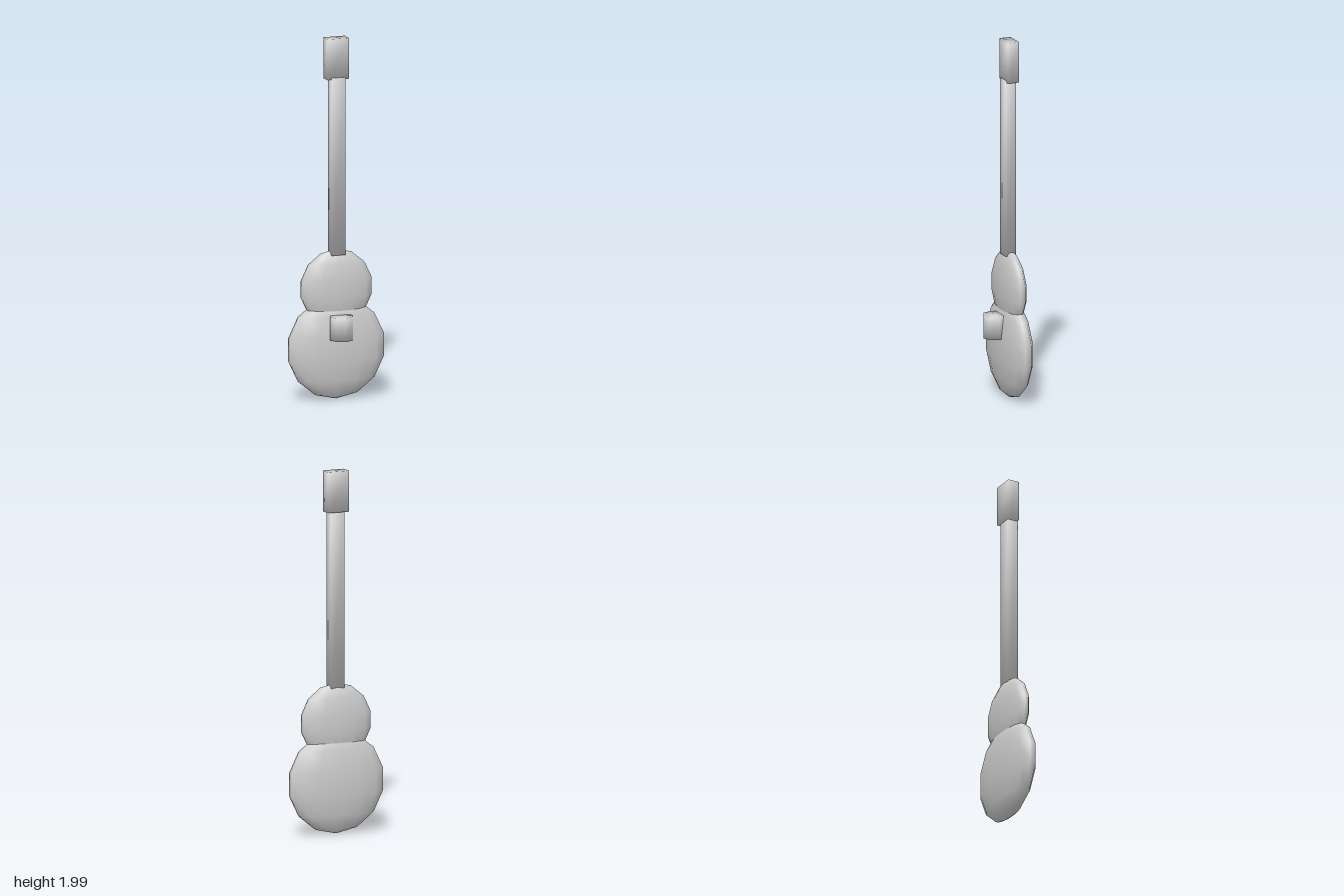
import * as THREE from 'three';

const bodyGrey = new THREE.MeshStandardMaterial({ name: 'plainGrey', color: 0xcccccc });

function addPart(group, name, geometry, x, y, z) {
  const mesh = new THREE.Mesh(geometry, bodyGrey);
  mesh.name = name;
  mesh.position.set(x, y, z);
  group.add(mesh);
  return mesh;
}

// Replaces every normal by a rule based on the vertex position and old normal
function setNormals(geometry, rule) {
  const pos = geometry.attributes.position;
  const nor = geometry.attributes.normal;
  const p = new THREE.Vector3();
  const n = new THREE.Vector3();
  for (let i = 0; i < pos.count; i++) {
    p.fromBufferAttribute(pos, i);
    n.fromBufferAttribute(nor, i);
    rule(p, n);
    n.normalize();
    nor.setXYZ(i, n.x, n.y, n.z);
  }
  return geometry;
}

// Box shaded softly across its edges
function softBox(w, h, d) {
  return setNormals(new THREE.BoxGeometry(w, h, d), (p, n) =>
    n.set(Math.sign(p.x), Math.sign(p.y), Math.sign(p.z)));
}

// Eight-sided drum shaded softly across its rims
function softDrum(r, h) {
  return setNormals(new THREE.CylinderGeometry(r, r, h, 8), (p, n) => {
    if (Math.hypot(p.x, p.z) > r / 2) {
      n.set((p.x / r) * 1.23, Math.sign(p.y), (p.z / r) * 1.23);
    }
  });
}

// Flattened low-poly ball with a vertex column facing front
function flatBall(rx, ry, rz) {
  return new THREE.SphereGeometry(1, 14, 7, Math.PI / 2).scale(rx, ry, rz);
}

export function createModel() {
  const guitar = new THREE.Group();
  guitar.name = 'guitar';

  // Body: two overlapping flattened balls
  addPart(guitar, 'lowerBody', flatBall(0.284, 0.284, 0.0775), 0, 0.292, -0.04);
  addPart(guitar, 'upperBody', flatBall(0.21, 0.212, 0.059), 0, 0.622, -0.0375);

  // Neck and headstock
  addPart(guitar, 'neck', softBox(0.078, 0.98, 0.062), 0, 1.295, -0.032);
  addPart(guitar, 'headstock', softBox(0.123, 0.225, 0.066), 0, 1.8875, -0.039);

  // Upright drum standing out from the front of the body
  addPart(guitar, 'soundDrum', softDrum(0.066, 0.13), 0, 0.414, 0.047);

  return guitar;
}
